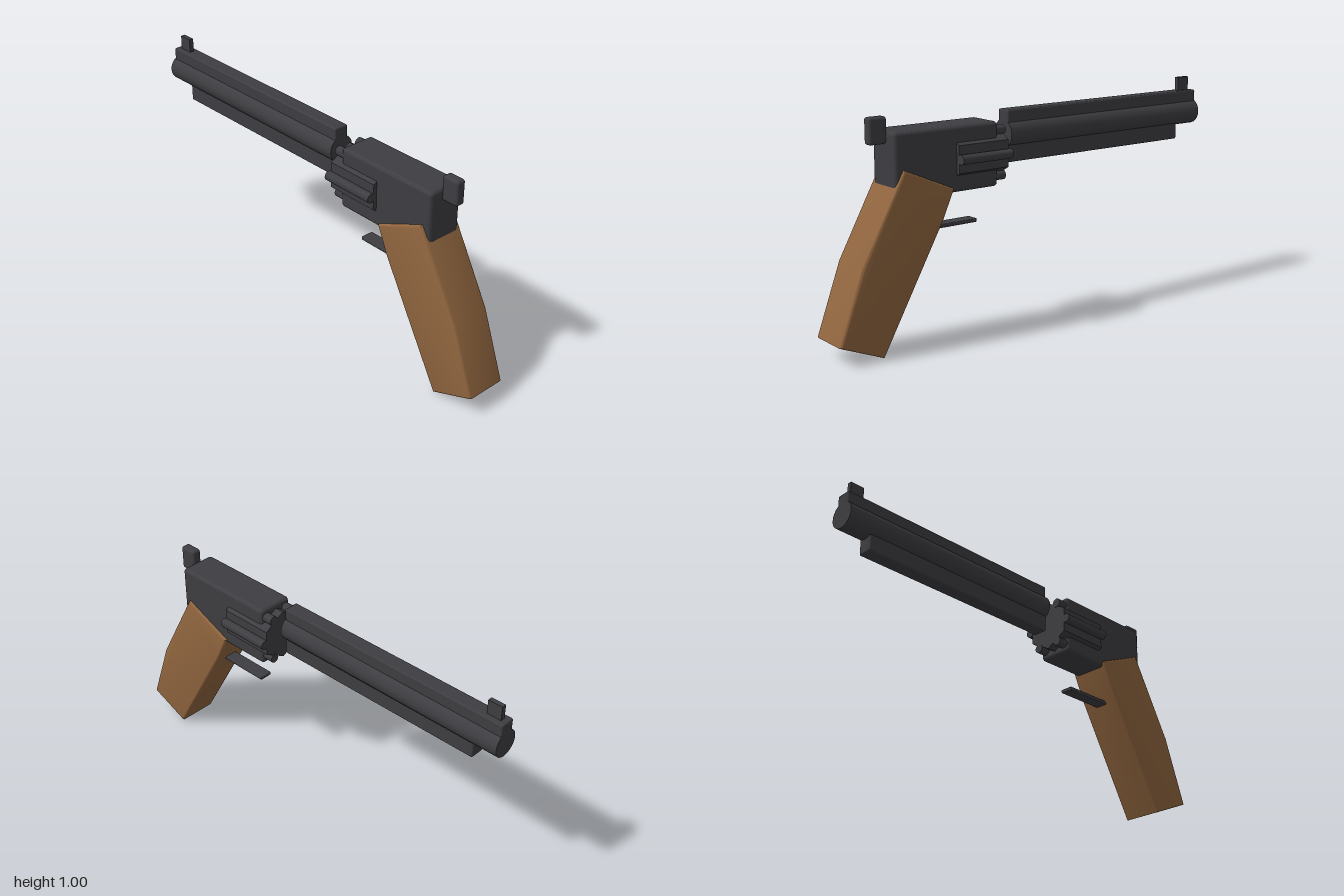
import * as THREE from 'three';
import { RoundedBoxGeometry } from 'three/addons/geometries/RoundedBoxGeometry.js';
import { toCreasedNormals } from 'three/addons/utils/BufferGeometryUtils.js';

const named = (name, color) => {
  const m = new THREE.MeshStandardMaterial({ color });
  m.name = name;
  return m;
};

export function createModel() {
  const steel = named('dark steel', 0x3e3e42);
  const wood = named('brown wood', 0x91663f);
  const model = new THREE.Group();
  model.name = 'revolver';

  const add = (name, geometry, material, parent = model) => {
    const mesh = new THREE.Mesh(geometry, material);
    mesh.name = name;
    parent.add(mesh);
    return mesh;
  };
  // Rounded block centred on x, given its y and z limits
  const block = (name, halfWidth, y0, y1, z0, z1, radius) =>
    add(name, new RoundedBoxGeometry(halfWidth * 2, y1 - y0, z1 - z0, 3, radius), steel)
      .position.set(0, (y0 + y1) / 2, (z0 + z1) / 2);
  // Round or faceted bar lying along z
  const bar = (name, radius, sides, x, y, z0, z1, parent) => {
    const g = new THREE.CylinderGeometry(radius, radius, z1 - z0, sides);
    g.rotateX(Math.PI / 2);
    const mesh = add(name, toCreasedNormals(g, 0.7), steel, parent);
    mesh.position.set(x, y, (z0 + z1) / 2);
    return mesh;
  };

  // Barrel with top rib, underlug and front sight
  bar('barrel', 0.06, 24, 0, 0.835, -1, 0.13);
  block('topRib', 0.034, 0.86, 0.937, -1, 0.13, 0.007);
  block('underlug', 0.034, 0.712, 0.82, -0.88, 0.13, 0.008);
  block('frontSight', 0.011, 0.92, 1, -0.975, -0.908, 0.002);

  // Frame and hammer
  block('frame', 0.083, 0.63, 0.905, 0.22, 0.725, 0.017);
  block('hammer', 0.022, 0.853, 0.963, 0.718, 0.8, 0.012);

  // Six-sided cylinder with a rod on each flat
  const cylinder = new THREE.Group();
  cylinder.name = 'cylinder';
  cylinder.position.y = 0.768;
  model.add(cylinder);
  bar('cylinderCore', 0.1155, 6, 0, 0, 0.178, 0.43, cylinder);
  for (let i = 0; i < 6; i++) {
    const a = (i * Math.PI) / 3;
    bar('chamberRod', 0.021, 16, Math.cos(a) * 0.112, Math.sin(a) * 0.112, 0.175, 0.43, cylinder);
  }

  // Trigger
  block('trigger', 0.03, 0.477, 0.493, 0.293, 0.55, 0.004);

  // Grip: side profile as (z, y), extruded across x with bevelled edges
  const profile = [[0.687, 0.753], [0.45, 0.65], [0.505, 0.527], [0.8, 0.002], [1, 0.085], [0.89, 0.385]];
  const shape = new THREE.Shape(profile.map(([z, y]) => new THREE.Vector2(z, y)));
  const bevel = 0.01;
  const grip = new THREE.ExtrudeGeometry(shape, {
    depth: 0.19 - 2 * bevel, bevelEnabled: true, bevelSegments: 3,
    bevelSize: bevel, bevelThickness: bevel, bevelOffset: -bevel,
  });
  grip.translate(0, 0, bevel - 0.095);
  grip.rotateY(-Math.PI / 2);
  add('grip', toCreasedNormals(grip, 0.6), wood);

  return model;
}
